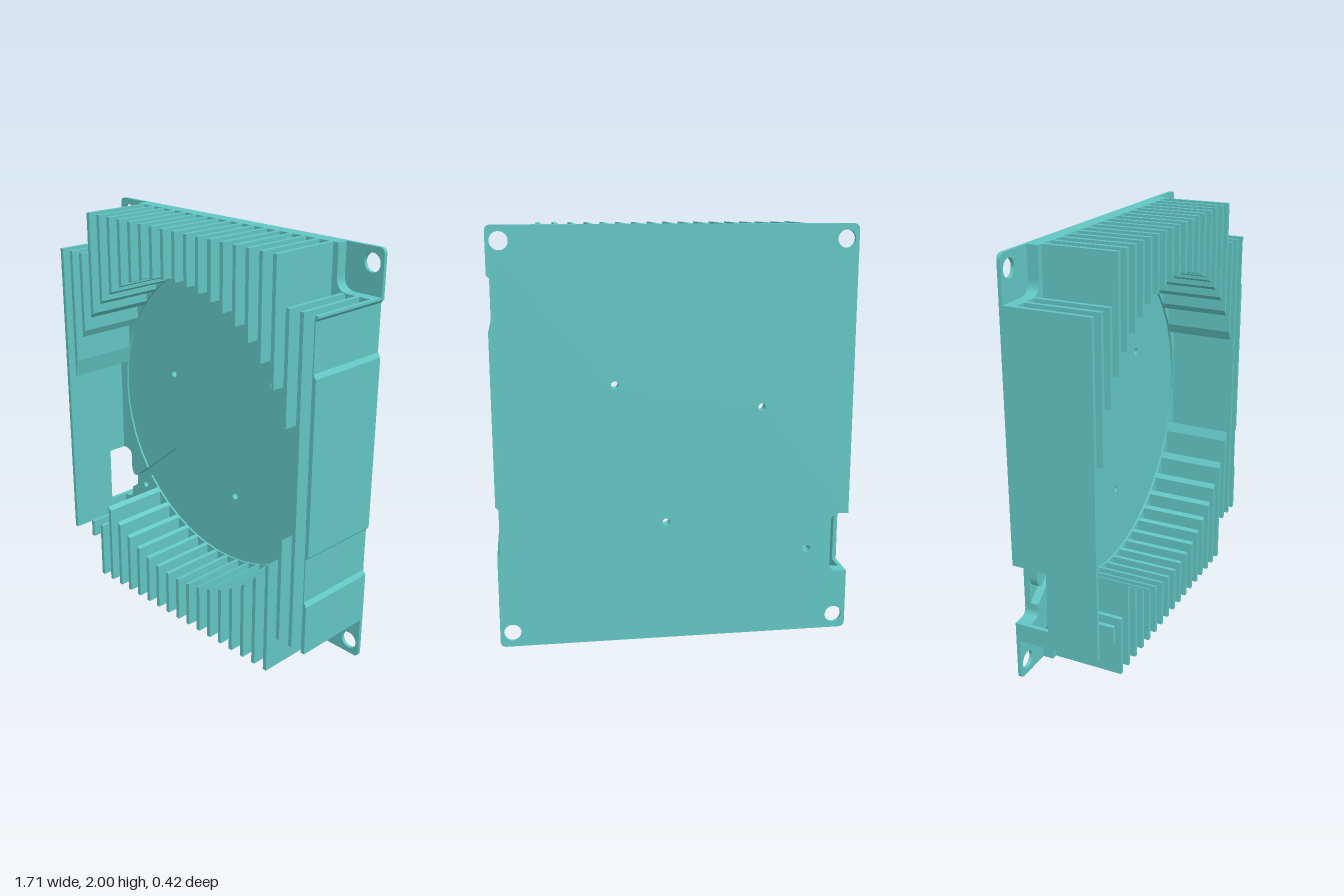
import * as THREE from 'three';

const W = 0.857, H = 2, T = 0.02;            // half width, height, fin thickness
const BACK = -0.21, BASE = -0.14, FRONT = 0.21;
const POCKET_X = 0.655, POCKET_Y = 0.21, FILLET = 0.065;
const FAN = { x: -0.02, y: 1, r: 0.77 };     // round clearing in the middle of the fins

// shallow relief steps on the +x side
const sideSteps = [[W, 0.455], [0.843, 0.475], [0.843, 0.69], [W, 0.705],
  [W, 1.525], [0.843, 1.545], [0.843, 1.765], [W, 1.78]];

export function createModel() {
  const group = new THREE.Group();
  const material = new THREE.MeshStandardMaterial({ color: 0x62c6c3 });

  function slab(name, shape, z0, z1) {
    const geo = new THREE.ExtrudeGeometry(shape, { depth: z1 - z0, bevelEnabled: false, curveSegments: 24 });
    const mesh = new THREE.Mesh(geo.translate(0, 0, z0), material);
    mesh.name = name;
    group.add(mesh);
  }

  const addHole = (shape, x, y, r) =>
    shape.holes.push(new THREE.Path().absarc(x, y, r, 0, Math.PI * 2, true));

  // plate outline, with optional corner pockets, cable groove and round recess
  function plateShape({ pockets = false, groove = false, recess = false }) {
    const s = new THREE.Shape();
    const r = 0.03, px = POCKET_X, py = POCKET_Y, f = FILLET;
    if (pockets) {
      s.moveTo(-px, 0).lineTo(px, 0).lineTo(px, py - f);
      s.quadraticCurveTo(px, py, px + f, py).lineTo(W, py);
    } else {
      s.moveTo(-W + r, 0).lineTo(W - r, 0).quadraticCurveTo(W, 0, W, r);
    }
    sideSteps.forEach(([x, y]) => s.lineTo(x, y));
    if (pockets) {
      s.lineTo(W, H - py).lineTo(px + f, H - py).quadraticCurveTo(px, H - py, px, H - py + f);
      s.lineTo(px, H).lineTo(-px, H).lineTo(-px, H - py + f);
      s.quadraticCurveTo(-px, H - py, -px - f, H - py).lineTo(-W, H - py);
    } else {
      s.lineTo(W, H - r).quadraticCurveTo(W, H, W - r, H).lineTo(-W + r, H);
      s.quadraticCurveTo(-W, H, -W, H - r);
    }
    // cable notch in the -x edge
    s.lineTo(-W, 0.6).lineTo(-0.81, 0.6).quadraticCurveTo(-0.77, 0.6, -0.77, 0.56);
    if (groove || recess) {
      s.lineTo(-0.77, 0.5).quadraticCurveTo(-0.76, 0.43, -0.72, 0.46);
      if (recess) {
        s.lineTo(-0.632, 0.532);
        s.absarc(FAN.x, FAN.y, FAN.r, 3.795, 3.856, true);
      } else {
        s.lineTo(-0.413, 0.715).bezierCurveTo(-0.385, 0.738, -0.348, 0.697, -0.375, 0.672);
      }
      s.lineTo(-0.77, 0.365);
    }
    s.lineTo(-0.77, 0.34).quadraticCurveTo(-0.77, 0.3, -0.81, 0.3).lineTo(-W, 0.3);
    if (pockets) {
      s.lineTo(-W, py).lineTo(-px - f, py).quadraticCurveTo(-px, py, -px, py - f);
    } else {
      s.lineTo(-W, r).quadraticCurveTo(-W, 0, -W + r, 0);
      for (const x of [-0.797, 0.797]) for (const y of [0.07, 1.93]) addHole(s, x, y, 0.042);
    }
    // small through holes
    addHole(s, -0.65, 0.425, 0.018);
    if (!recess) [[-0.41, 1.145], [0.29, 1.27], [0.05, 0.595]].forEach(([x, y]) => addHole(s, x, y, 0.018));
    return s;
  }

  // base plate, stacked from back to front
  slab('backPlate', plateShape({}), BACK, -0.193);
  slab('plateCore', plateShape({ pockets: true }), -0.193, -0.18);
  slab('groovedPlate', plateShape({ pockets: true, groove: true }), -0.18, -0.15);
  slab('recessedPlate', plateShape({ pockets: true, recess: true }), -0.15, BASE);

  // one fin; each end is given at its two x edges, so it can follow the clearing
  const fin = (x, [a0, a1], [b0, b1], z0 = BASE) => {
    const l = x - T / 2, r = x + T / 2;
    const pts = [[l, a0], [r, a1], [r, b1], [l, b0]].map(p => new THREE.Vector2(...p));
    slab('fin', new THREE.Shape(pts), z0, FRONT);
  };
  const flat = y => [y, y];
  const chord = x => Math.sqrt(Math.max(0, FAN.r ** 2 - (x - FAN.x) ** 2));
  const arcEnds = (x, sign) => [x - T / 2, x + T / 2].map(e => FAN.y + sign * chord(e));

  const COUNT = 23, PITCH = (2 * W - T) / (COUNT - 1);
  for (let i = 1; i < COUNT - 1; i++) {
    const x = -W + T / 2 + i * PITCH;
    const inPocket = Math.abs(x) > POCKET_X;
    const lo = inPocket ? POCKET_Y : 0, hi = H - lo;
    if (i === COUNT - 2) {
      fin(x, flat(lo), flat(hi));             // beyond the clearing
      continue;
    }
    fin(x, arcEnds(x, 1), flat(hi));
    if (i === 1) continue;                    // left open for the cable
    fin(x, flat(lo), i <= 3 ? flat(0.3) : arcEnds(x, -1));
  }

  // outer fin on the -x side, with an opening at the cable notch
  const xl = -W + T / 2;
  fin(xl, flat(POCKET_Y), flat(0.3));
  fin(xl, flat(0.3), flat(0.6), -0.04);
  fin(xl, flat(0.6), flat(H - POCKET_Y));

  // outer fin on the +x side, following the relief steps
  const outer = [[W - T, POCKET_Y], [W, POCKET_Y], ...sideSteps, [W, H - POCKET_Y], [W - T, H - POCKET_Y]];
  slab('outerFin', new THREE.Shape(outer.map(p => new THREE.Vector2(...p))), BASE, FRONT);

  return group;
}
